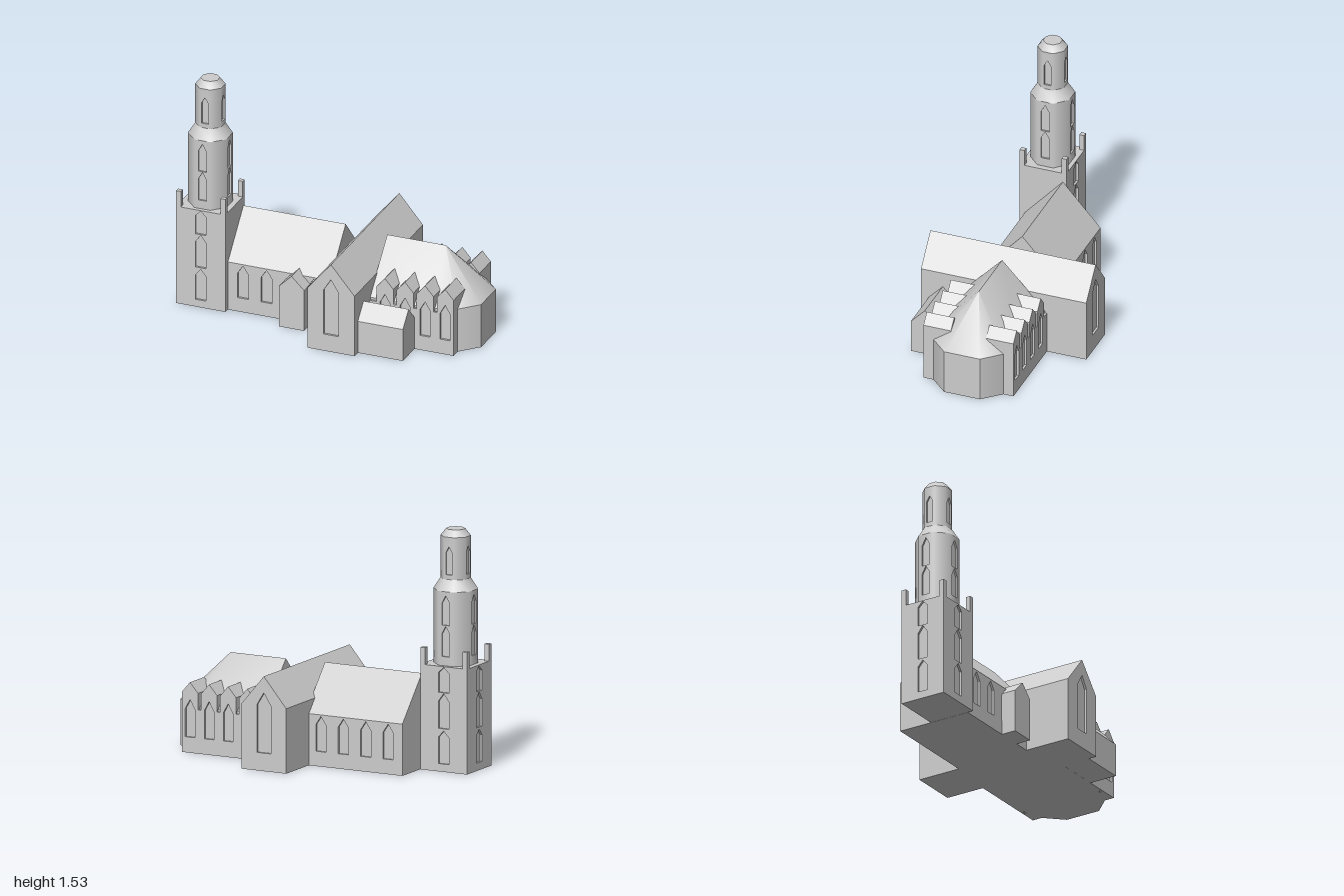
import * as THREE from 'three';
import { toCreasedNormals } from 'three/addons/utils/BufferGeometryUtils.js';
import { ConvexGeometry } from 'three/addons/geometries/ConvexGeometry.js';

const RECESS = 0.014;
const TOWER = { x: -0.835, z: 0.122 };

export function createModel() {
  const model = new THREE.Group();
  model.name = 'church';
  const stone = new THREE.MeshStandardMaterial({ color: 0xcccccc });
  stone.name = 'paleStone';

  const add = (name, geometry, x = 0, y = 0, z = 0, turn = 0) => {
    const mesh = new THREE.Mesh(geometry, stone);
    mesh.name = name;
    mesh.position.set(x, y, z);
    mesh.rotation.y = turn;
    model.add(mesh);
    return mesh;
  };
  const polygon = (points) => new THREE.Shape(points.map(([x, y]) => new THREE.Vector2(x, y)));
  const extrude = (shape, depth) => new THREE.ExtrudeGeometry(shape, { depth, bevelEnabled: false });

  // Pointed window opening: centre x, sill, shoulder, tip, width
  const cutWindow = (shape, [x, sill, shoulder, tip, w]) => {
    shape.holes.push(polygon([
      [x - w / 2, sill], [x + w / 2, sill], [x + w / 2, shoulder], [x, tip], [x - w / 2, shoulder],
    ]));
  };
  const withWindows = (shape, windows) => {
    windows.forEach((w) => cutWindow(shape, w));
    return shape;
  };
  const rect = (w, y0, y1) => polygon([[-w / 2, y0], [w / 2, y0], [w / 2, y1], [-w / 2, y1]]);

  // Gabled cross-section; inset pulls the walls in beneath the eaves
  const house = (w, eave, ridge, inset = 0) => {
    const h = w / 2, i = h - inset;
    if (!inset) return polygon([[-h, 0], [h, 0], [h, eave], [0, ridge], [-h, eave]]);
    return polygon([[-i, 0], [i, 0], [i, eave], [h, eave], [0, ridge], [-h, eave], [-i, eave]]);
  };

  // Pierced wall skin whose outer face lies at (x, z), facing the given angle
  const skin = (name, shape, x, z, angle) =>
    add(name, extrude(shape, RECESS), x - Math.sin(angle) * RECESS, 0, z - Math.cos(angle) * RECESS, angle);

  // Nave with four windows on each side
  add('nave', extrude(house(0.505, 0.33, 0.61, RECESS), 0.692), -0.667, 0, -0.012, Math.PI / 2);
  for (const s of [1, -1]) {
    const windows = [-0.232, -0.072, 0.088, 0.248].map((x) => [x * s, 0.095, 0.265, 0.32, 0.073]);
    skin('naveWall', withWindows(rect(0.667, 0, 0.33), windows),
      -0.3335, -0.012 + s * 0.2525, s > 0 ? 0 : Math.PI);
  }

  // Transept with one tall window at each end
  add('transept', extrude(house(0.32, 0.415, 0.605), 1.11 - 2 * RECESS), 0.16, 0, -0.558 + RECESS);
  for (const [z, angle] of [[0.552, 0], [-0.558, Math.PI]]) {
    skin('transeptEnd', withWindows(house(0.32, 0.415, 0.605), [[0, 0.115, 0.42, 0.5, 0.1]]), 0.16, z, angle);
  }

  // Choir and hipped, faceted apse as one convex body
  const zc = 0.0085;
  const hull = [new THREE.Vector3(0.315, 0.6, zc), new THREE.Vector3(0.71, 0.6, zc)];
  for (const s of [1, -1]) {
    for (const [x, z, top] of [[0.315, 0.288, 0.295], [0.73, 0.288, 0.295], [0.89, 0.235, 0.295], [1, 0.12, 0.295]]) {
      hull.push(new THREE.Vector3(x, 0, zc + s * z), new THREE.Vector3(x, top, zc + s * z));
    }
  }
  add('choirAndApse', toCreasedNormals(new ConvexGeometry(hull), 0.65));

  // Gabled bays along both sides of the choir
  const bays = [0.425, 0.561, 0.697, 0.833];
  for (const s of [1, -1]) {
    const outline = [[0.315, 0], [0.89, 0]];
    for (const x of [...bays].reverse()) {
      outline.push([x + 0.057, 0.28], [x + 0.057, 0.385], [x, 0.45], [x - 0.057, 0.385], [x - 0.057, 0.28]);
    }
    outline.push([0.315, 0.28]);
    const wall = withWindows(polygon(outline.map(([x, y]) => [x * s, y])),
      bays.map((x) => [x * s, 0.1, 0.28, 0.34, 0.068]));
    const outer = zc + s * 0.302;
    skin('choirWall', wall, 0, outer, s > 0 ? 0 : Math.PI);
    const inner = zc + s * 0.118, back = outer - s * RECESS;
    for (const x of bays) {
      add('choirBay', extrude(house(0.114, 0.385, 0.45), Math.abs(back - inner)), x, 0, Math.min(back, inner));
    }
  }

  // Small front buildings
  add('porch', extrude(house(0.17, 0.28, 0.363), 0.16), -0.195, 0, 0.18);
  add('sacristy', extrude(house(0.188, 0.218, 0.317), 0.32), 0.305, 0, 0.405, Math.PI / 2);

  // Square tower base, pierced on its three free sides
  const W = 0.333, D = 0.314, H = 0.672;
  add('towerCore', new THREE.BoxGeometry(W - RECESS, H, D - 2 * RECESS), TOWER.x + RECESS / 2, H / 2, TOWER.z);
  const towerWindows = [[0, 0.05, 0.22, 0.262, 0.073], [0, 0.275, 0.45, 0.5, 0.073], [0, 0.505, 0.632, 0.667, 0.073]];
  for (const [w, dx, dz, angle] of [
    [W, 0, D / 2, 0], [W, 0, -D / 2, Math.PI], [D, -W / 2, 0, -Math.PI / 2],
  ]) {
    skin('towerWall', withWindows(rect(w, 0, H), towerWindows), TOWER.x + dx, TOWER.z + dz, angle);
  }
  for (const sx of [1, -1]) {
    for (const sz of [1, -1]) {
      add('pinnacle', new THREE.BoxGeometry(0.032, 0.12, 0.032),
        TOWER.x + sx * (W / 2 - 0.016), 0.72, TOWER.z + sz * (D / 2 - 0.016));
    }
  }

  // Octagonal drums: windows on the four axial faces, rounded shading outside
  const corner = 1 / Math.cos(Math.PI / 8);
  const drum = (name, apothem, y0, y1, windows) => {
    const core = new THREE.CylinderGeometry((apothem - 0.011) * corner, (apothem - 0.011) * corner,
      y1 - y0, 8, 1, false, Math.PI / 8);
    add(name + 'Core', toCreasedNormals(core, 0.3), TOWER.x, (y0 + y1) / 2, TOWER.z);
    for (let i = 0; i < 8; i++) {
      const angle = i * Math.PI / 4;
      const shape = rect(2 * apothem * Math.tan(Math.PI / 8), y0, y1);
      const geometry = extrude(withWindows(shape, i % 2 ? [] : windows), 0.011);
      geometry.translate(0, 0, apothem - 0.011).rotateY(angle);
      const p = geometry.attributes.position, n = geometry.attributes.normal;
      for (let k = 0; k < p.count; k++) {
        if (n.getX(k) * Math.sin(angle) + n.getZ(k) * Math.cos(angle) < 0.99) continue;
        const r = Math.hypot(p.getX(k), p.getZ(k));
        n.setXYZ(k, p.getX(k) / r, 0, p.getZ(k) / r);
      }
      add(name + 'Face', geometry, TOWER.x, 0, TOWER.z);
    }
  };
  drum('lowerDrum', 0.13, 0.67, 1.145, [[0, 0.73, 0.875, 0.925, 0.056], [0, 0.93, 1.07, 1.12, 0.056]]);
  drum('upperDrum', 0.088, 1.21, 1.485, [[0, 1.245, 1.385, 1.425, 0.046]]);

  // Sloping shoulder and bevelled cap
  const lathe = (points) => toCreasedNormals(new THREE.LatheGeometry(
    points.map(([r, y]) => new THREE.Vector2(r * corner, y)), 8, Math.PI / 8), 0.9);
  add('towerShoulder', lathe([[0.13, 1.145], [0.088, 1.215]]), TOWER.x, 0, TOWER.z);
  add('towerCap', lathe([[0.088, 1.485], [0.056, 1.528], [0, 1.528]]), TOWER.x, 0, TOWER.z);

  return model;
}
